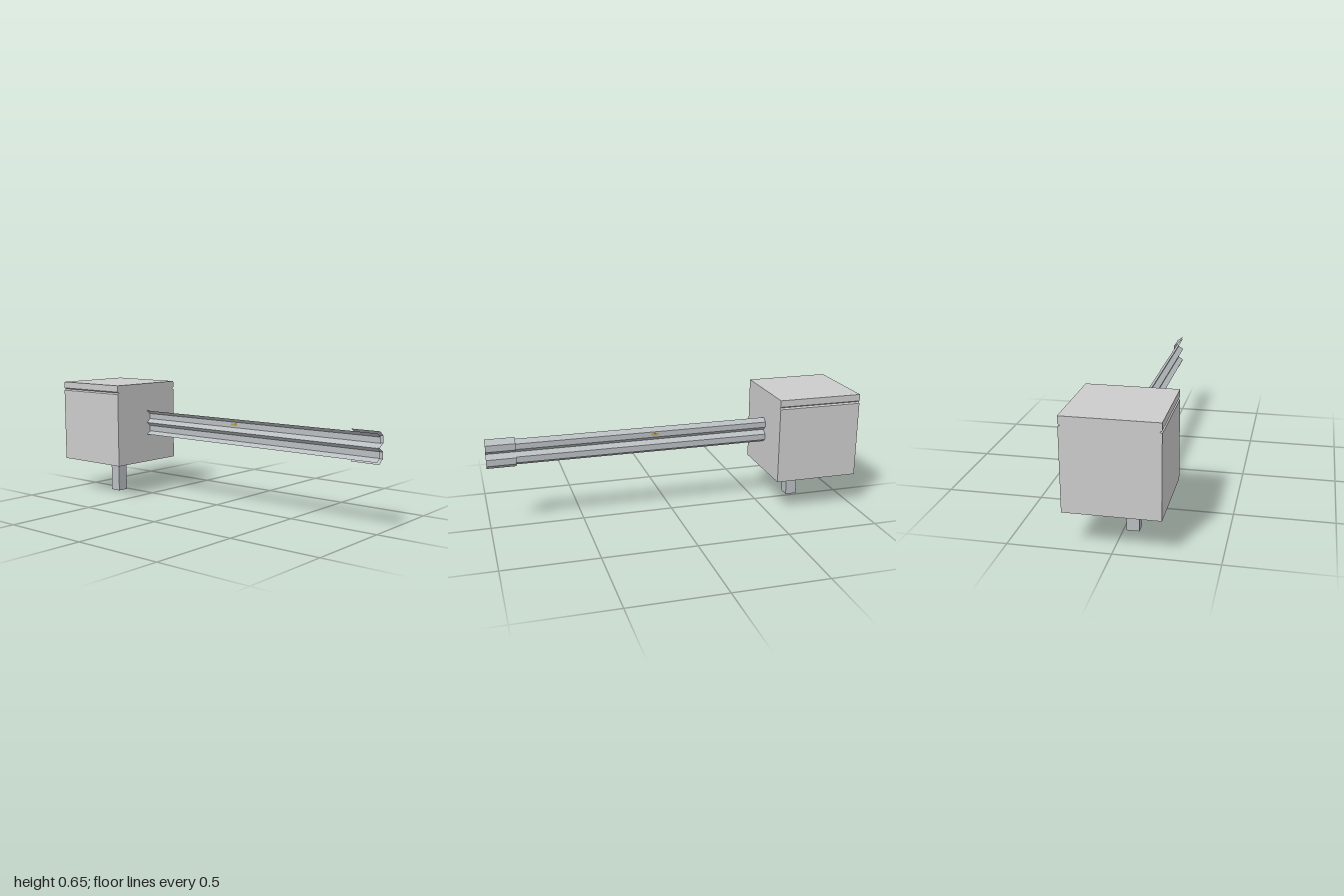
import * as THREE from 'three';

const grey = new THREE.MeshStandardMaterial({ color: 0xcccccc, flatShading: true });
const steel = new THREE.MeshStandardMaterial({ color: 0xb9bec1, flatShading: true, side: THREE.DoubleSide });
const amber = new THREE.MeshStandardMaterial({ color: 0xb8a040 });

function add(group, name, geometry, material) {
  const mesh = new THREE.Mesh(geometry, material);
  mesh.name = name;
  group.add(mesh);
  return mesh;
}

// Thin folded sheet: an open [x, y] profile swept along z
function foldedSheet(profile, z0, z1) {
  const pos = [];
  for (let i = 0; i < profile.length - 1; i++) {
    const [ax, ay] = profile[i], [bx, by] = profile[i + 1];
    pos.push(ax, ay, z0, bx, by, z1, bx, by, z0);
    pos.push(ax, ay, z0, ax, ay, z1, bx, by, z1);
  }
  const g = new THREE.BufferGeometry();
  g.setAttribute('position', new THREE.Float32BufferAttribute(pos, 3));
  g.computeVertexNormals();
  return g;
}

// Two-ridged rail section
const ridges = (x0, x1, ys) => ys.map((y, i) => [[x0, x1, x1, x0][i % 4 < 3 ? i % 4 : 0], y])
  .map(([, y], i) => [[x0, x1, x1, x0, x1, x1, x0][i], y]);

export function createModel() {
  const model = new THREE.Group();

  // Block with a V groove along both sides, just under the lid
  const half = [[0.231, 0.187], [0.231, 0.6], [0.221, 0.607], [0.231, 0.614], [0.231, 0.65]];
  const outline = [...half, ...half.map(([x, y]) => [-x, y]).reverse()];
  const shape = new THREE.Shape(outline.map(([x, y]) => new THREE.Vector2(x, y)));
  const block = new THREE.ExtrudeGeometry(shape, { depth: 0.462, bevelEnabled: false });
  add(model, 'block', block, grey).position.z = -1;

  // Hollow post, open at both ends
  const r = 0.0315 * Math.SQRT2;
  const post = new THREE.CylinderGeometry(r, r, 0.5, 4, 1, true).rotateY(Math.PI / 4);
  add(model, 'post', post, steel).position.set(-0.047, 0.25, -0.733);

  // Rail and the wider lap piece at its free end
  const rail = ridges(0, 0.027, [0.49, 0.47, 0.44, 0.419, 0.399, 0.367, 0.349]);
  add(model, 'rail', foldedSheet(rail, -0.77, 0.99), steel);
  const lap = ridges(0.003, 0.037, [0.501, 0.476, 0.441, 0.42, 0.398, 0.364, 0.34]);
  add(model, 'railEnd', foldedSheet(lap, 0.845, 1), steel);

  // Small reflector on the upper ridge
  add(model, 'reflector', new THREE.BoxGeometry(0.003, 0.012, 0.04), amber).position.set(0.027, 0.456, 0.1);

  return model;
}
